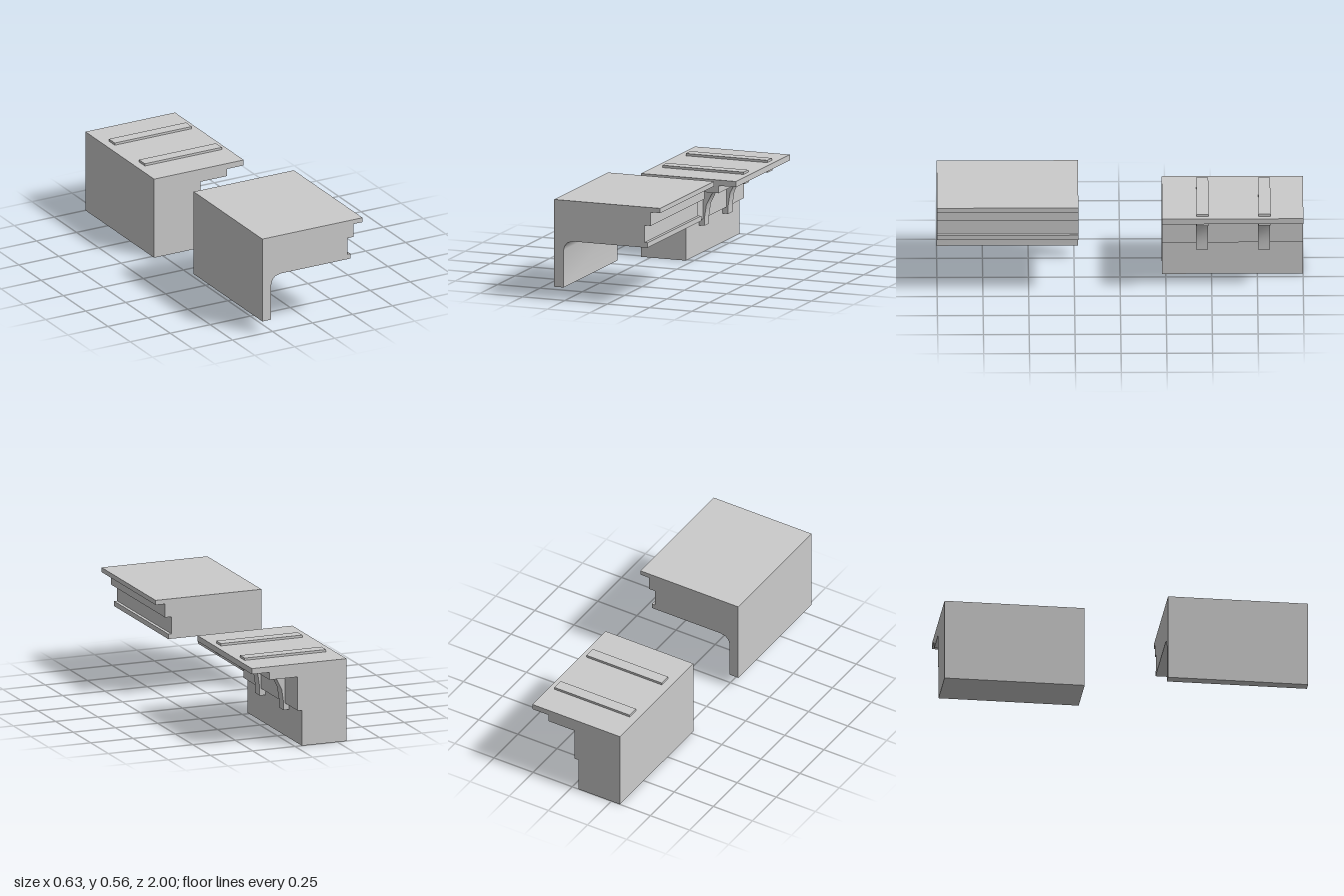
import * as THREE from 'three';
import { toCreasedNormals } from 'three/addons/utils/BufferGeometryUtils.js';

const material = new THREE.MeshStandardMaterial({ color: 0xcccccc });

// Extrudes an x/y profile from z0 to z1, smoothing only its shallow bends
function extrudeProfile(name, points, z0, z1) {
  const shape = new THREE.Shape(points.map(([x, y]) => new THREE.Vector2(x, y)));
  const geometry = new THREE.ExtrudeGeometry(shape, { depth: z1 - z0, bevelEnabled: false });
  geometry.translate(0, 0, z0);
  const mesh = new THREE.Mesh(toCreasedNormals(geometry, 0.62), material);
  mesh.name = name;
  return mesh;
}

// Box given by its limits on each axis
function box(name, x0, x1, y0, y1, z0, z1) {
  const mesh = new THREE.Mesh(new THREE.BoxGeometry(x1 - x0, y1 - y0, z1 - z0), material);
  mesh.position.set((x0 + x1) / 2, (y0 + y1) / 2, (z0 + z1) / 2);
  mesh.name = name;
  return mesh;
}

export function createModel() {
  const model = new THREE.Group();
  model.name = 'corniceSections';

  // Front section: wall with coved soffit and moulded edge
  const front = new THREE.Group();
  front.name = 'covedCornice';
  front.add(extrudeProfile('covedCorniceBody', [
    [-0.313, 0.072], [-0.258, 0.072], [-0.258, 0.28], [-0.251, 0.305],
    [-0.232, 0.325], [-0.2, 0.333], [0.238, 0.333], [0.238, 0.361],
    [0.22, 0.361], [0.22, 0.457], [0.257, 0.457], [0.257, 0.533],
    [0.313, 0.533], [0.313, 0.559], [-0.313, 0.559],
  ], 0.229, 1));

  // Rear section: stepped wall under an overhanging slab
  const rear = new THREE.Group();
  rear.name = 'bracketedCornice';
  rear.add(extrudeProfile('bracketedCorniceBody', [
    [-0.305, 0], [-0.041, 0], [-0.041, 0.2], [-0.016, 0.2], [-0.016, 0.391],
    [0.151, 0.391], [0.151, 0.433], [0.255, 0.433], [0.255, 0.465], [-0.305, 0.465],
  ], -1, -0.229));

  // Each bay has a curved bracket, a block under the slab and a strip on top
  for (const z of [-0.45, -0.788]) {
    const z0 = z - 0.033, z1 = z + 0.033;
    rear.add(extrudeProfile('curvedBracket', [
      [-0.043, 0.161], [-0.007, 0.161], [-0.007, 0.21], [0.003, 0.277],
      [0.033, 0.339], [0.085, 0.392], [-0.043, 0.392],
    ], z0 + 0.002, z1 + 0.002));
    rear.add(box('soffitBlock', 0.149, 0.228, 0.411, 0.435, z0, z1));
    rear.add(box('topStrip', -0.258, 0.223, 0.463, 0.478, z0, z1));
  }

  model.add(front, rear);
  return model;
}
